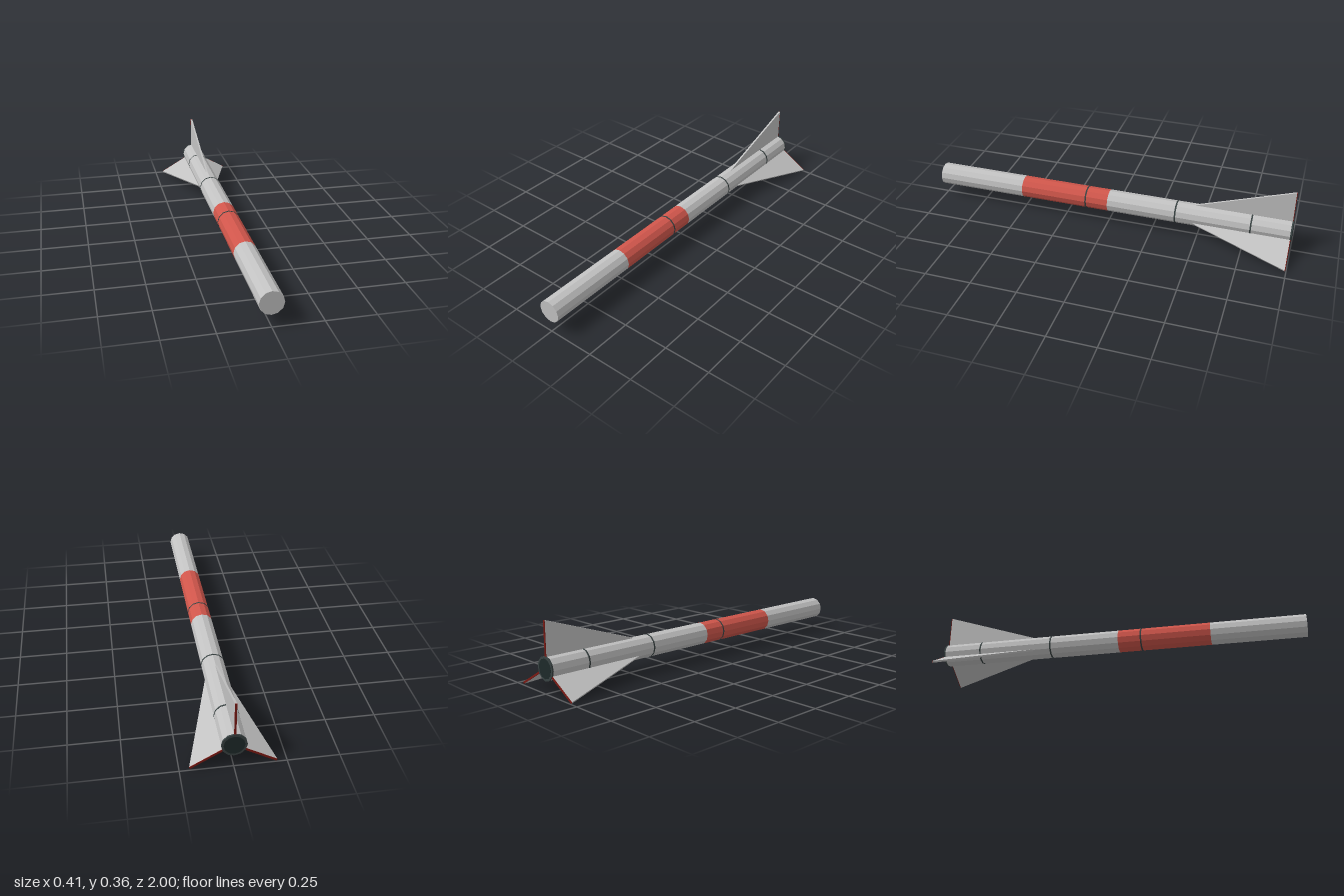
import * as THREE from 'three';

const SIDES = 12, R = 0.06, AXIS_Y = 0.124, AXIS_X = -0.0015;

function flat(name, color) {
  const m = new THREE.MeshStandardMaterial({ color, flatShading: true });
  m.name = name;
  return m;
}

export function createModel() {
  const grey = flat('light grey', 0xc2c2c2);
  const red = flat('red', 0xd0564b);
  const seam = flat('dark seam', 0x394343);
  const nozzleDark = flat('nozzle dark', 0x1e2a2a);
  const darkRed = flat('dark red', 0x7c1a14);

  const model = new THREE.Group();
  model.name = 'rocket';
  const rocket = new THREE.Group();
  rocket.name = 'rocketOnAxis';
  rocket.position.set(AXIS_X, AXIS_Y, 0);
  model.add(rocket);

  function add(name, geometry, material, parent = rocket) {
    const mesh = new THREE.Mesh(geometry, material);
    mesh.name = name;
    parent.add(mesh);
    return mesh;
  }

  // Faceted tube section lying along z
  function section(name, zBack, zFront, radius, material, open = false) {
    const g = new THREE.CylinderGeometry(radius, radius, zFront - zBack, SIDES, 1, open);
    g.rotateX(Math.PI / 2).translate(0, 0, (zBack + zFront) / 2);
    return add(name, g, material);
  }

  // Body sections
  section('noseSection', 0.5, 1, R, grey);
  section('paintedSection', 0, 0.5, R, red, true);
  section('tailSection', -0.995, 0, R, grey, true);

  // Thin seam rings
  for (const z of [0.125, -0.38, -0.785]) {
    section('seamRing', z - 0.004, z + 0.004, R + 0.0012, seam);
  }

  // Nozzle rim and opening
  section('nozzleRim', -0.999, -0.991, R + 0.0012, seam);
  section('nozzleOpening', -1, -0.998, 0.05, nozzleDark);

  // Three swept fins with painted trailing edges
  const T = 0.01, ROOT = 0.05, TIP = 0.233, BACK = -0.993;
  const profile = new THREE.Shape([
    new THREE.Vector2(-0.45, ROOT),
    new THREE.Vector2(BACK, TIP),
    new THREE.Vector2(BACK, ROOT),
  ]);
  const finGeometry = new THREE.ExtrudeGeometry(profile, { depth: T, bevelEnabled: false });
  finGeometry.rotateY(-Math.PI / 2).translate(T / 2, 0, 0);
  const edgeGeometry = new THREE.BoxGeometry(T, TIP - ROOT, 0.003);
  edgeGeometry.translate(0, (TIP + ROOT) / 2, BACK - 0.0015);
  for (let i = 0; i < 3; i++) {
    const fin = new THREE.Group();
    fin.name = 'fin';
    fin.rotation.z = (i * Math.PI * 2) / 3;
    add('finBlade', finGeometry, grey, fin).position.x = -0.0025;
    add('finTrailingEdge', edgeGeometry, darkRed, fin).position.x = -0.0025;
    rocket.add(fin);
  }

  return model;
}
